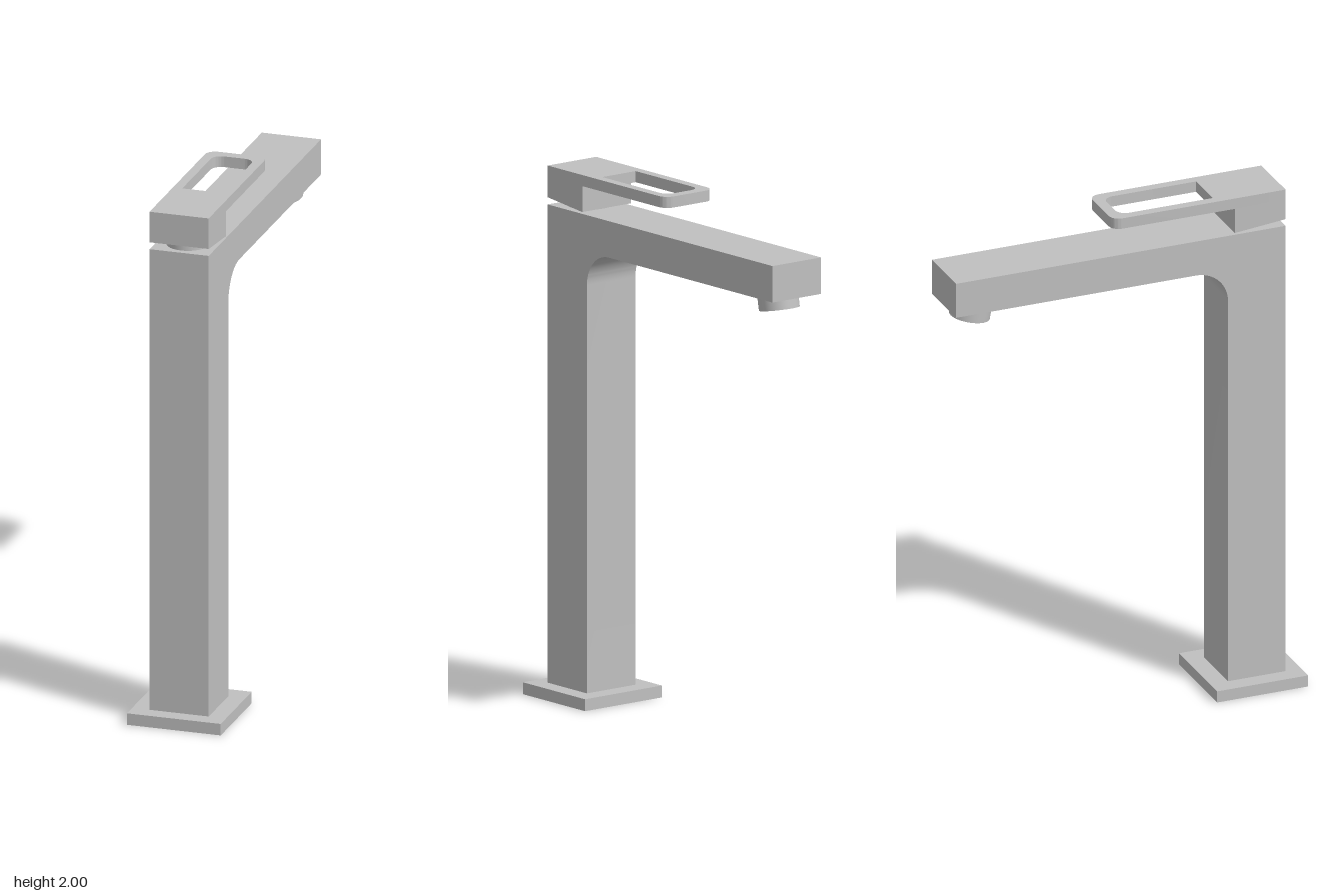
import * as THREE from 'three';
import { toCreasedNormals } from 'three/addons/utils/BufferGeometryUtils.js';

const W = 0.23; // width of column, spout and lever

export function createModel() {
  const group = new THREE.Group();
  const metal = new THREE.MeshStandardMaterial({ color: 0xc0c0c0 });
  metal.name = 'satin grey metal';

  const add = (name, geometry) => {
    const mesh = new THREE.Mesh(geometry, metal);
    mesh.name = name;
    group.add(mesh);
    return mesh;
  };
  const extrude = (shape, depth) =>
    new THREE.ExtrudeGeometry(shape, { depth, bevelEnabled: false, curveSegments: 12 });

  // Extrudes a side profile, drawn as (z, y), across the full width
  const sideExtrude = (shape) => {
    const g = extrude(shape, W);
    g.rotateY(-Math.PI / 2).translate(W / 2, 0, 0);
    return toCreasedNormals(g, 0.5);
  };

  // Outline with two rounded corners at its far (low z) end
  const roundedEnd = (path, half, z0, z1, r) => {
    path.moveTo(-half, z1);
    path.lineTo(-half, z0 + r);
    path.absarc(-half + r, z0 + r, r, Math.PI, Math.PI * 1.5, false);
    path.lineTo(half - r, z0);
    path.absarc(half - r, z0 + r, r, -Math.PI / 2, 0, false);
    path.lineTo(half, z1);
    path.closePath();
    return path;
  };

  // Square foot plate
  add('basePlate', new THREE.BoxGeometry(0.364, 0.045, 0.364)).position.set(0, 0.0225, 0.508);

  // Column and spout in one piece with a filleted inner corner
  const body = new THREE.Shape();
  body.moveTo(0.628, 0.045);
  body.lineTo(0.628, 1.853);
  body.lineTo(-0.69, 1.853);
  body.lineTo(-0.69, 1.715);
  body.lineTo(0.27, 1.715);
  body.absarc(0.27, 1.587, 0.128, Math.PI / 2, 0, true);
  body.lineTo(0.398, 0.045);
  body.closePath();
  add('columnAndSpout', sideExtrude(body));

  // Round neck between column and lever
  add('leverNeck', new THREE.CylinderGeometry(0.08, 0.08, 0.04, 40)).position.set(0, 1.87, 0.525);

  // Lever block with a sloping underside
  const block = new THREE.Shape();
  block.moveTo(0.425, 1.86);
  block.lineTo(0.628, 1.88);
  block.lineTo(0.628, 1.96);
  block.lineTo(0.425, 1.96);
  block.closePath();
  add('leverBlock', sideExtrude(block));

  // Flat lever loop
  const loop = roundedEnd(new THREE.Shape(), W / 2, -0.063, 0.628, 0.04);
  loop.holes.push(roundedEnd(new THREE.Path(), 0.079, -0.022, 0.352, 0.04));
  const plate = extrude(loop, 0.042);
  plate.rotateX(Math.PI / 2).translate(0, 2, 0);
  add('leverLoop', toCreasedNormals(plate, 0.5));

  // Tilted outlet ring with a recessed face, bottom rim at local y = 0
  const ring = [[0, 0.025], [0.062, 0.025], [0.062, 0], [0.076, 0], [0.076, 0.1]]
    .map(([r, y]) => new THREE.Vector2(r, y));
  const outlet = add('outlet', toCreasedNormals(new THREE.LatheGeometry(ring, 40), 0.5));
  outlet.position.set(0, 1.658, -0.588);
  outlet.rotation.x = 0.18;

  return group;
}
